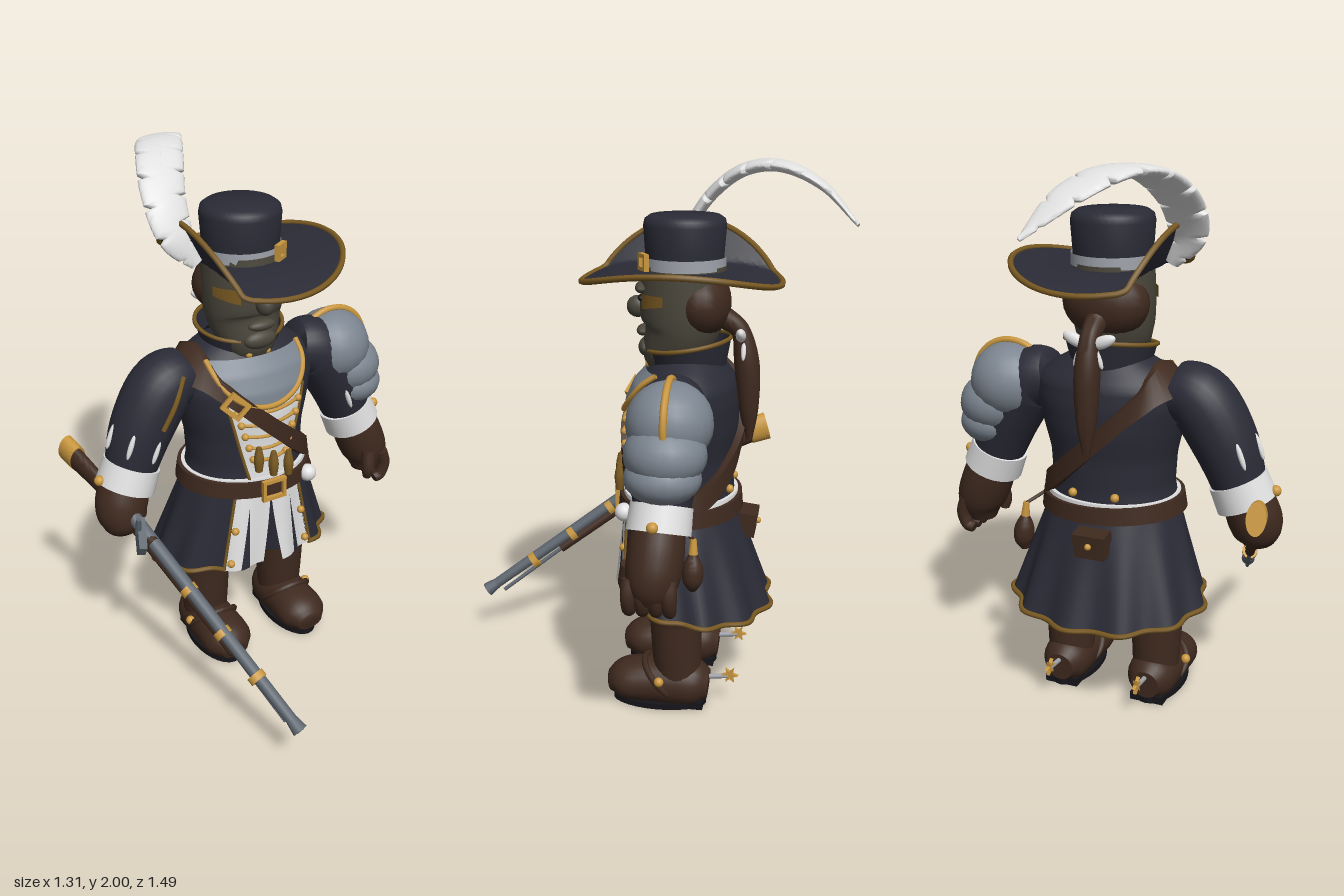
import * as THREE from 'three';
import { toCreasedNormals } from 'three/addons/utils/BufferGeometryUtils.js';

const mat = (name, color) => {
  const m = new THREE.MeshStandardMaterial({ color, side: THREE.DoubleSide });
  m.name = name;
  return m;
};
const navy = mat('navy cloth', 0x2a2b36), brown = mat('brown leather', 0x3f2a1f), white = mat('white cloth', 0xe0e0e0);
const gold = mat('gold', 0xc9973f), oldGold = mat('old gold', 0x7a5a22), skin = mat('dark skin', 0x4b473c);
const steel = mat('steel', 0x7c8590), black = mat('black', 0x15151a), iron = mat('iron', 0x5d656e), silver = mat('silver ribbon', 0xa0a4ab);
const V = (x, y, z) => new THREE.Vector3(x, y, z);
const lerp = THREE.MathUtils.lerp;

export function createModel() {
  const root = new THREE.Group();
  root.name = 'musketeer';
  const add = (name, m, geo, pos = [0, 0, 0], rot = [0, 0, 0], scale = [1, 1, 1]) => {
    const mesh = new THREE.Mesh(geo, m);
    mesh.name = name;
    mesh.position.set(...pos); mesh.rotation.set(...rot); mesh.scale.set(...scale);
    root.add(mesh);
    return mesh;
  };
  // surface from f(u, v); the normal is du x dv
  const grid = (name, m, nu, nv, f) => {
    const p = [], idx = [];
    for (let j = 0; j <= nv; j++) for (let i = 0; i <= nu; i++) p.push(...f(i / nu, j / nv).toArray());
    for (let j = 0; j < nv; j++) for (let i = 0; i < nu; i++) {
      const a = j * (nu + 1) + i, d = a + nu + 1;
      idx.push(a, a + 1, d + 1, a, d + 1, d);
    }
    const g = new THREE.BufferGeometry();
    g.setAttribute('position', new THREE.Float32BufferAttribute(p, 3));
    g.setIndex(idx);
    return add(name, m, toCreasedNormals(g, 0.9));
  };
  // closed sweep of ellipses through rows [x, y, z, a, b]; a lies along the side vector
  const sweep = (name, m, rows, { n = 24, steps = rows.length * 5, side = V(1, 0, 0), mod = () => 1, minY = -9 } = {}) => {
    const path = new THREE.CatmullRomCurve3(rows.map(r => V(r[0], r[1], r[2])), false, 'catmullrom');
    const size = new THREE.CatmullRomCurve3(rows.map(r => V(r[3], r[4] ?? r[3], 0)), false, 'catmullrom');
    const nv = steps + 2;
    return grid(name, m, n, nv, (u, v) => {
      const j = Math.round(v * nv), t = THREE.MathUtils.clamp((j - 1) / steps, 0, 1);
      const k = j === 0 || j === nv ? 0 : 1, P = path.getPoint(t), T = path.getTangent(t), s = size.getPoint(t);
      const S = side.clone().addScaledVector(T, -side.dot(T)).normalize(), N = T.clone().cross(S);
      const w = u * Math.PI * 2;
      P.addScaledVector(S, Math.cos(w) * s.x * k * mod(Math.cos(w), t)).addScaledVector(N, Math.sin(w) * s.y * k);
      P.y = Math.max(P.y, minY);
      return P;
    });
  };
  const ball = (name, m, pos, sx, sy = sx, sz = sx, rot) => add(name, m, new THREE.SphereGeometry(1, 20, 14), pos, rot, [sx, sy, sz]);
  const cord = (name, m, pts, r = 0.009, closed = false) =>
    add(name, m, new THREE.TubeGeometry(new THREE.CatmullRomCurve3(pts, closed), pts.length * 3, r, 6, closed));
  const rod = (name, m, a, b, r0, r1 = r0) => {
    const d = b.clone().sub(a), mesh = add(name, m, new THREE.CylinderGeometry(r1, r0, d.length(), 14), a.clone().add(b).multiplyScalar(0.5).toArray());
    mesh.quaternion.setFromUnitVectors(V(0, 1, 0), d.normalize());
    return mesh;
  };
  const buckle = (name, pos, w, h, rot) => {
    const s = new THREE.Shape(), o = new THREE.Path(), a = w / 2, b = h / 2, t = 0.014;
    s.moveTo(-a, -b).lineTo(a, -b).lineTo(a, b).lineTo(-a, b);
    o.moveTo(t - a, t - b).lineTo(t - a, b - t).lineTo(a - t, b - t).lineTo(a - t, t - b);
    s.holes.push(o);
    add(name, gold, new THREE.ExtrudeGeometry(s, { depth: 0.018, bevelEnabled: false }), pos, rot);
  };
  const range = (n, f) => Array.from({ length: n }, (_, i) => f(i / (n - 1), i));

  // torso, rows [y, half width, half depth, centre z]
  const T = [[0.6, .23, .19, -.13], [0.74, .245, .205, -.13], [0.84, .228, .195, -.13], [0.95, .235, .195, -.13], [1.05, .26, .205, -.135],
    [1.15, .285, .2, -.14], [1.22, .28, .18, -.15], [1.27, .22, .14, -.155], [1.32, .13, .1, -.16]];
  const torsoAt = y => {
    let i = 0;
    while (i < T.length - 2 && y > T[i + 1][0]) i++;
    const k = THREE.MathUtils.clamp((y - T[i][0]) / (T[i + 1][0] - T[i][0]), 0, 1);
    return [1, 2, 3].map(c => lerp(T[i][c], T[i + 1][c], k));
  };
  const onTorso = (phi, y, off = 0) => {
    const [rx, rz, cz] = torsoAt(y);
    return V((rx + off) * Math.sin(phi), y, cz + (rz + off) * Math.cos(phi));
  };
  const frontAt = (x, y, off = 0) => onTorso(Math.asin(THREE.MathUtils.clamp(x / (torsoAt(y)[0] + off), -1, 1)), y, off);
  grid('coatBody', navy, 48, 36, (u, v) => onTorso(u * Math.PI * 2, lerp(0.6, 1.32, v)));
  const patch = (name, m, y0, y1, hw, off) => grid(name, m, 16, 16, (u, v) => {
    const y = lerp(y0, y1, v);
    return frontAt(lerp(-hw(y), hw(y), u), y, off);
  });
  patch('vest', white, 0.78, 1.16, y => lerp(.08, .17, (y - .78) / .38), 0.006);
  const gorget = y => .19 * Math.sqrt(Math.max(0, 1 - ((1.27 - y) / .17) ** 2));
  patch('breastplate', steel, 1.1, 1.27, gorget, 0.014);
  cord('breastplateTrim', gold, range(15, k => { const a = k * Math.PI; return frontAt(-.19 * Math.cos(a), 1.27 - .17 * Math.sin(a), .016); }), .011);
  for (const s of [-1, 1]) cord('lapelTrim', oldGold, range(6, k => frontAt(s * lerp(.082, .165, k), lerp(.8, 1.14, k), .008)), .006);
  for (const y of [0.89, 0.94, 0.99, 1.04, 1.09]) {
    const w = lerp(.07, .13, (y - .89) / .2);
    cord('frogging', gold, range(7, k => frontAt(lerp(-w, w, k), y - .012 * Math.sin(k * Math.PI), .012)), .007);
    for (const s of [-1, 1]) ball('vestButton', gold, frontAt(s * w, y, .014).toArray(), .014);
  }

  // straps wrapped around the body
  const wrap = (name, m, yMid, slope, half, off) => grid(name, m, 64, 3, (u, v) => {
    const phi = u * Math.PI * 2, j = Math.round(v * 3);
    let y = yMid;
    for (let i = 0; i < 8; i++) y = lerp(y, Math.min(1.285, yMid + slope * torsoAt(y)[0] * Math.sin(phi)), .6);
    return onTorso(phi, y + (j < 2 ? -half : half), j === 0 || j === 3 ? 0 : off);
  });
  wrap('baldric', brown, 1.02, -.98, .042, .026);
  wrap('sash', white, .775, 0, .03, .014);
  wrap('belt', brown, .765, -.03, .03, .028);
  buckle('beltBuckle', [0, .76, .095], .1, .085);
  buckle('baldricBuckle', frontAt(-.14, 1.13, .028).toArray(), .085, .075, [-.1, -.4, -.75]);
  for (const [x, y] of [[-.06, .9], [0, .87], [.07, .85]]) {
    const p = frontAt(x, y, .035);
    sweep('powderVial', oldGold, [[p.x, y - .05, p.z, .014], [p.x, y, p.z, .019], [p.x, y + .05, p.z, .01]], { n: 12 });
  }

  // coat skirt with folds, parted at the front
  const skirt = (phi, v, off = 0) => {
    const w = 1 - v, fold = .014 * w * Math.sin(phi * 11);
    return V((lerp(.36, .25, v) + fold + off) * Math.sin(phi), lerp(.395 + .035 * Math.cos(phi), .74, v),
      lerp(-.185, -.13, v) + (lerp(.285, .21, v) + fold + off) * Math.cos(phi));
  };
  const panel = (name, m, a, b, off) => grid(name, m, Math.ceil(Math.abs(b - a) * 18) + 2, 8, (u, v) => skirt(lerp(a, b, u), v, off));
  panel('coatSkirt', navy, .55, Math.PI * 2 - .55, 0);
  cord('skirtHem', oldGold, range(70, k => skirt(lerp(.55, Math.PI * 2 - .55, k), .02, .003)), .01);
  for (const s of [-1, 1]) {
    grid('whiteSkirtPanel', white, 12, 8, (u, v) => skirt(s * lerp(lerp(.1, 0, v), .57, u), v));
    grid('skirtStripe', navy, 4, 8, (u, v) => skirt(s * lerp(.33 - .05 * (1 - v), .33 + .05 * (1 - v), u), v * .85, .005));
    cord('skirtEdge', oldGold, range(6, k => skirt(s * .57, k, .004)), .006);
    for (const v of [.12, .55]) ball('skirtButton', gold, skirt(s * .5, v, .01).toArray(), .015);
  }

  // legs, boots and spurs
  for (const s of [-1, 1]) {
    const x = .175 * s;
    sweep('trouserLeg', navy, [[x * .8, .36, -.14, .1], [x * .75, .5, -.14, .115], [x * .6, .68, -.13, .12]]);
    sweep('bootShaft', brown, [[x, .08, -.15, .085], [x, .2, -.145, .092], [x, .34, -.14, .097], [x, .38, -.14, .1]]);
    sweep('bootCuff', brown, [[x * 1.02, .35, -.14, .106], [x * 1.04, .42, -.14, .112], [x * 1.04, .48, -.14, .112]]);
    sweep('bootFoot', brown, [[x, .08, -.265, .055, .055], [x, .085, -.2, .092, .09], [x, .085, -.06, .097, .088], [x, .078, .05, .097, .075], [x, .065, .108, .055, .04]], { minY: .012 });
    add('sole', black, new THREE.CylinderGeometry(1, 1, .022, 28), [x, .011, -.08], [0, 0, 0], [.088, 1, .178]);
    add('heel', black, new THREE.BoxGeometry(.13, .03, .1), [x, .015, -.2]);
    add('spurStrap', brown, new THREE.TorusGeometry(.098, .012, 6, 28), [x, .1, -.09], [.75, 0, 0]);
    ball('strapStud', gold, [x + s * .098, .12, -.09], .018);
    rod('spurShank', silver, V(x, .105, -.22), V(x, .118, -.34), .009);
    const star = new THREE.Shape(range(12, (_, i) => {
      const r = i % 2 ? .014 : .032, a = i * Math.PI / 6;
      return new THREE.Vector2(r * Math.cos(a), r * Math.sin(a));
    }));
    add('spurStar', gold, new THREE.ExtrudeGeometry(star, { depth: .014, bevelEnabled: false }), [x - .007, .122, -.345], [0, Math.PI / 2, 0]);

    // sleeves, cuffs and slashes
    sweep('sleeve', navy, [[s * .23, 1.2, -.145, .1], [s * .33, 1.17, -.14, .122], [s * .42, 1.03, -.135, .118], [s * .48, .87, -.13, .096]], { side: V(0, 0, 1) });
    sweep('cuff', white, [[s * .47, .895, -.13, .108], [s * .505, .81, -.125, .112]], { side: V(0, 0, 1) });
    for (const a of [-.9, 0, .9, 1.8]) ball('sleeveSlash', white, [s * (.44 + .105 * Math.cos(a)), .985 + .04 * Math.cos(a), -.135 + .112 * Math.sin(a)], .01, .05, .01, [0, 0, s * .36]);
    ball('cuffButton', gold, [s * .605, .865, -.12], .02);
  }
  sweep('rightGlove', brown, [[-.5, .83, -.125, .092], [-.53, .75, -.11, .098], [-.53, .69, -.09, .085], [-.52, .65, -.08, .05]], { side: V(0, 0, 1) });
  sweep('leftGlove', brown, [[.5, .83, -.125, .092], [.54, .74, -.12, .098], [.57, .66, -.115, .09], [.575, .59, -.11, .06]], { side: V(0, 0, 1) });
  for (let i = 0; i < 4; i++) {
    const z = -.04 - i * .046;
    sweep('leftFinger', brown, [[.6, .68, z, .026], [.615, .62, z, .027], [.6, .57, z, .024], [.57, .56, z, .02]], { n: 12, side: V(0, 0, 1) });
  }
  sweep('leftThumb', brown, [[.53, .7, -.03, .03], [.52, .63, -.015, .026], [.52, .59, -.02, .016]], { n: 12, side: V(0, 0, 1) });
  cord('shoulderTrim', oldGold, [V(-.29, 1.24, -.04), V(-.34, 1.15, -.012), V(-.39, 1.06, -.015)], .01);

  // layered pauldron on the left shoulder
  ball('upperPauldron', steel, [.405, 1.165, -.145], .152, .145, .15);
  ball('middlePauldron', steel, [.465, 1.075, -.14], .143, .115, .142);
  ball('lowerPauldron', steel, [.485, 1.0, -.135], .128, .09, .132);
  add('pauldronRidge', gold, new THREE.TorusGeometry(.15, .013, 8, 30, 2.6), [.405, 1.165, -.145], [0, 0, -.1]);

  // collar
  const collar = (phi, v, off = 0) => V((lerp(.135, .165, v) + off) * Math.sin(phi), lerp(1.25, 1.355 - .025 * Math.cos(phi), v), -.155 + (lerp(.13, .152, v) + off) * Math.cos(phi));
  grid('collar', navy, 40, 4, (u, v) => collar(.12 + u * (Math.PI * 2 - .24), v));
  cord('collarTrim', oldGold, range(30, k => collar(.12 + k * (Math.PI * 2 - .24), 1)), .008);
  for (const s of [-1, 1]) ball('collarButton', gold, collar(s * .25, .35, .008).toArray(), .014);

  // head
  sweep('head', skin, [[0, 1.27, -.1, .08, .08], [0, 1.32, -.085, .112, .1], [0, 1.4, -.12, .14, .14], [0, 1.5, -.13, .148, .155], [0, 1.64, -.135, .145, .15]]);
  ball('nose', skin, [0, 1.48, .035], .032, .04, .04);
  ball('brow', skin, [0, 1.555, .01], .1, .022, .03);
  ball('lips', skin, [0, 1.395, .012], .055, .02, .025);
  ball('chin', skin, [0, 1.335, .0], .065, .035, .03);
  for (const s of [-1, 1]) {
    ball('eye', black, [s * .058, 1.522, .012], .022, .012, .012);
    grid('maskSide', oldGold, 10, 2, (u, v) => {
      const p = s * lerp(.55, 1.25, u);
      return V(.154 * Math.sin(p), lerp(1.485 + .02 * u, 1.54, v), -.13 + .161 * Math.cos(p));
    });
    ball('bowLoop', white, [s * .05, 1.395, -.345], .05, .022, .018, [0, 0, s * .4]);
    ball('bowTail', white, [s * .035, 1.345, -.355], .012, .045, .01, [0, 0, s * .4]);
  }
  ball('hair', brown, [0, 1.5, -.2], .158, .125, .105);
  sweep('ponytail', brown, [[0, 1.45, -.28, .04], [0, 1.4, -.34, .035], [0, 1.28, -.365, .046], [0, 1.12, -.375, .036], [0, 1.0, -.38, .012]]);

  // hat: drooping brim, turned up on the right
  const brim = (a, t) => {
    const r = lerp(.12, .358, t);
    let x = r * Math.cos(a), y = 1.62 + t * t * (-.045 + .07 * Math.cos(a) ** 2);
    const e = Math.max(0, -.17 - x);
    x += e * .62; y += e * .68;
    return V(x, y, -.125 + r * Math.sin(a));
  };
  grid('hatBrim', navy, 72, 14, (u, v) => brim(-u * Math.PI * 2, v));
  cord('brimTrim', oldGold, range(72, (_, i) => brim(i / 72 * Math.PI * 2, 1)), .011, true);
  const crown = [[.138, 1.6], [.141, 1.68], [.148, 1.775], [.143, 1.797], [.125, 1.81], [0, 1.814]].map(p => new THREE.Vector2(...p));
  add('hatCrown', navy, toCreasedNormals(new THREE.LatheGeometry(crown, 40), .9), [0, 0, -.135]);
  add('hatBand', silver, new THREE.CylinderGeometry(.148, .148, .042, 40, 1, true), [0, 1.645, -.135]);
  buckle('hatBuckle', [.08, 1.652, -.008], .06, .06, [0, .57, 0]);

  // plume with notched edges
  const plume = [[-.2, 1.63, -.09, .025, .012], [-.265, 1.74, -.12, .07, .02], [-.265, 1.86, -.2, .082, .024], [-.215, 1.95, -.32, .085, .024],
    [-.145, 1.97, -.46, .08, .022], [-.05, 1.91, -.61, .06, .016], [.05, 1.79, -.735, .008, .006]];
  sweep('plume', white, plume, { steps: 90, mod: (c, t) => (t * 9 + (c > 0 ? 0 : .45)) % 1 > .88 ? .68 : 1 });
  cord('plumeQuill', white, plume.map(r => V(r[0], r[1] + r[4] * .7, r[2] + r[4] * .3)), .007);

  // musket
  const A = V(-.5, .69, .03), M = V(-.27, .19, .73), along = k => A.clone().lerp(M, k), down = V(0, -.028, -.018);
  rod('barrel', iron, along(-.1), M, .026, .021);
  rod('muzzle', iron, along(.95), along(1.003), .022, .029);
  rod('muzzleBore', black, along(1.0), along(1.005), .014);
  rod('foreStock', brown, along(-.1).add(down), along(.6).add(down), .026, .02);
  rod('ramrod', iron, along(.5).add(down), along(.93).add(down).add(V(0, -.01, 0)), .008);
  for (const k of [.28, .5, .72]) rod('barrelBand', gold, along(k).addScaledVector(down, .3), along(k + .03).addScaledVector(down, .3), .033);
  sweep('stock', brown, [[-.49, .66, .07, .026, .03], [-.53, .73, -.09, .024, .034], [-.575, .805, -.24, .026, .045], [-.61, .855, -.35, .03, .052]]);
  sweep('buttPlate', gold, [[-.603, .85, -.335, .034, .056], [-.618, .87, -.405, .034, .058]]);
  add('lockPlate', iron, new THREE.BoxGeometry(.03, .05, .13), [-.525, .69, .04], [.55, -.33, 0]);
  rod('hammer', iron, V(-.53, .7, .03), V(-.535, .77, .05), .013, .009);

  // belt gear
  sweep('powderFlask', brown, [[.33, .53, -.22, .014], [.335, .57, -.22, .036], [.33, .62, -.22, .036], [.325, .67, -.22, .014]], { n: 16 });
  rod('flaskCap', gold, V(.325, .665, -.22), V(.32, .72, -.22), .017, .011);
  cord('flaskCord', brown, [V(.24, .77, -.15), V(.29, .735, -.19), V(.32, .715, -.22)], .007);
  ball('beltOrb', white, [.18, .752, .055], .034);
  add('backPouch', brown, new THREE.BoxGeometry(.115, .085, .06), [-.02, .67, -.385], [-.12, 0, 0]);
  add('pouchFlap', brown, new THREE.BoxGeometry(.122, .04, .068), [-.02, .698, -.385], [-.12, 0, 0]);
  ball('pouchStud', gold, [-.02, .675, -.42], .012);
  for (const s of [-1, 1]) ball('backButton', gold, onTorso(Math.PI + s * .35, .83, .006).toArray(), .016);
  return root;
}
